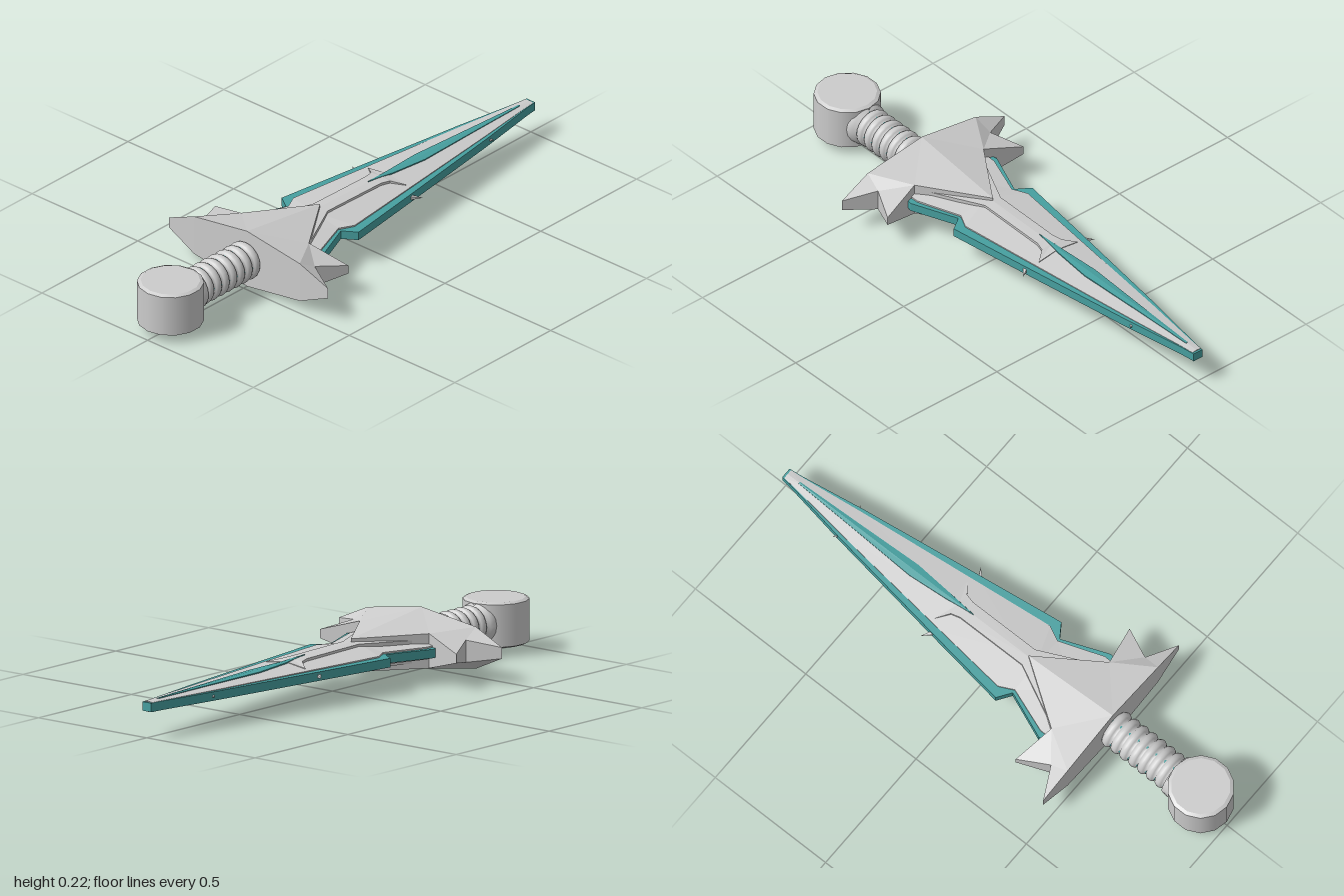
import * as THREE from 'three';

const MID = 0.111; // height of the sword's middle plane
const QUADRANTS = [[1, 1], [-1, 1], [1, -1], [-1, -1]];

// Faceted solid from polygons, repeated in all four mirrored quarters
function mirrored(polygons) {
  const out = [];
  for (const [sx, sy] of QUADRANTS) {
    for (const poly of polygons) {
      for (let i = 1; i < poly.length - 1; i++) {
        const tri = [poly[0], poly[i], poly[i + 1]];
        if (sx * sy < 0) tri.reverse();
        for (const [x, y, z] of tri) out.push(x * sx, MID + y * sy, z);
      }
    }
  }
  const g = new THREE.BufferGeometry();
  g.setAttribute('position', new THREE.Float32BufferAttribute(out, 3));
  g.computeVertexNormals();
  return g;
}

// Stations [z, innerX, innerY, outerX, outerY] lofted up from the middle plane
function plate(stations) {
  const rings = stations.map(([z, xi, yi, xo, yo]) =>
    [[xi, 0, z], [xo, 0, z], [xo, yo, z], [xi, yi, z]]);
  const polys = [[...rings[0]].reverse(), rings[rings.length - 1]];
  for (let i = 0; i < rings.length - 1; i++) {
    const a = rings[i], b = rings[i + 1];
    for (let k = 1; k < 4; k++) {
      const n = (k + 1) % 4;
      polys.push([a[k], a[n], b[n], b[k]]);
    }
  }
  return mirrored(polys);
}

export function createModel() {
  const group = new THREE.Group();
  const steel = new THREE.MeshStandardMaterial({ color: 0xcccccc });
  steel.name = 'pale steel';
  const teal = new THREE.MeshStandardMaterial({ color: 0x47a0a0 });
  teal.name = 'teal';
  const add = (name, geometry, material) => {
    const mesh = new THREE.Mesh(geometry, material);
    mesh.name = name;
    group.add(mesh);
    return mesh;
  };

  // Thin teal core with notched cutting edges
  const half = [[0.02, -1], [0.026, -0.95], [0.068, -0.7], [0.14, -0.2],
    [0.182, 0.1], [0.13, 0.135], [0.2, 0.31], [0.19, 0.36]];
  const outline = [...half, ...half.map(([x, z]) => [-x, z]).reverse()];
  const shape = new THREE.Shape(outline.map(([x, z]) => new THREE.Vector2(x, -z)));
  const core = new THREE.ExtrudeGeometry(shape, { depth: 0.032, bevelEnabled: false });
  core.rotateX(-Math.PI / 2).translate(0, MID - 0.016, 0);
  add('bladeEdge', core, teal);

  // Bevelled steel faces of the blade
  add('bladeFaces', plate([
    [-0.992, 0, 0.019, 0.019, 0.017],
    [-0.93, 0, 0.021, 0.025, 0.017],
    [-0.7, 0, 0.026, 0.055, 0.018],
    [-0.2, 0, 0.036, 0.113, 0.02],
    [0.08, 0, 0.042, 0.145, 0.021],
    [0.135, 0, 0.043, 0.118, 0.022],
    [0.3, 0, 0.046, 0.178, 0.022],
    [0.36, 0, 0.046, 0.178, 0.022],
  ]), steel);

  // Raised central rib flaring towards the guard
  add('bladeRib', plate([
    [-0.25, 0, 0.037, 0.09, 0.025],
    [-0.215, 0, 0.041, 0.045, 0.038],
    [-0.18, 0, 0.043, 0.036, 0.041],
    [0.1, 0, 0.049, 0.036, 0.046],
    [0.335, 0, 0.054, 0.15, 0.04],
  ]), steel);

  // Long teal inlay along the blade
  add('bladeInlay', plate([
    [-0.94, 0, 0.023, 0.004, 0.022],
    [-0.7, 0, 0.029, 0.013, 0.027],
    [-0.42, 0, 0.035, 0.025, 0.032],
    [-0.27, 0, 0.039, 0.013, 0.037],
    [-0.15, 0, 0.047, 0.001, 0.046],
  ]), teal);

  // Small thorns along the cutting edges
  for (const s of [1, -1]) {
    for (const [x, z, length] of [[0.142, -0.235, 0.06], [0.062, -0.715, 0.035]]) {
      const cone = new THREE.ConeGeometry(0.014, length, 4).toNonIndexed();
      cone.computeVertexNormals();
      const thorn = add('bladeThorn', cone, steel);
      thorn.position.set(s * x, MID, z);
      thorn.rotation.set(-Math.PI / 2, 0, -s * 0.95, 'YXZ');
      thorn.quaternion.setFromUnitVectors(new THREE.Vector3(0, 1, 0),
        new THREE.Vector3(s * 0.8, 0, -0.6));
    }
  }

  // Winged guard: corners [x, half height, z] from the blade round to the grip
  const corners = [[0, 0.06, 0.1], [0.16, 0.062, 0.335], [0.315, 0.016, 0.3],
    [0.26, 0.04, 0.415], [0.376, 0.02, 0.474], [0.25, 0.075, 0.482], [0, 0.111, 0.482]];
  const guard = [[0, 6, 1], [1, 6, 5], [1, 5, 3], [1, 3, 2], [3, 5, 4]]
    .map((t) => t.map((i) => corners[i]));
  for (let i = 0; i < corners.length - 1; i++) {
    const p = corners[i], q = corners[i + 1];
    guard.push([p, q, [q[0], 0, q[2]], [p[0], 0, p[2]]]);
  }
  add('guard', mirrored(guard), steel);

  // Ribbed grip with a wider collar at the pommel
  const profile = [new THREE.Vector2(0.056, 0.46)];
  const ribs = 7, pitch = 0.04;
  for (let i = 0; i < ribs; i++) {
    for (let k = 0; k < 6; k++) {
      const r = 0.056 + 0.016 * Math.sqrt(Math.sin(Math.PI * k / 6));
      profile.push(new THREE.Vector2(r, 0.48 + (i + k / 6) * pitch));
    }
  }
  for (const [r, z] of [[0.056, 0.76], [0.076, 0.765], [0.079, 0.79], [0.07, 0.82]]) {
    profile.push(new THREE.Vector2(r, z));
  }
  const grip = new THREE.LatheGeometry(profile, 20);
  grip.rotateX(Math.PI / 2).translate(0, MID, 0);
  add('grip', grip, steel);

  // Square teal core whose corners show in the grip's grooves
  const gripCore = new THREE.CylinderGeometry(0.062, 0.062, 0.3, 4);
  gripCore.rotateX(Math.PI / 2).translate(0, MID, 0.62);
  add('gripCore', gripCore, teal);

  // Drum pommel with thin caps
  const drum = new THREE.CylinderGeometry(0.118, 0.118, 0.152, 14);
  drum.translate(0, MID, 0.881);
  add('pommel', drum, steel);
  for (const s of [1, -1]) {
    const cap = new THREE.CylinderGeometry(s > 0 ? 0.105 : 0.117, s > 0 ? 0.117 : 0.105, 0.006, 14);
    cap.translate(0, MID + s * 0.079, 0.881);
    add('pommelCap', cap, steel);
  }
  return group;
}
